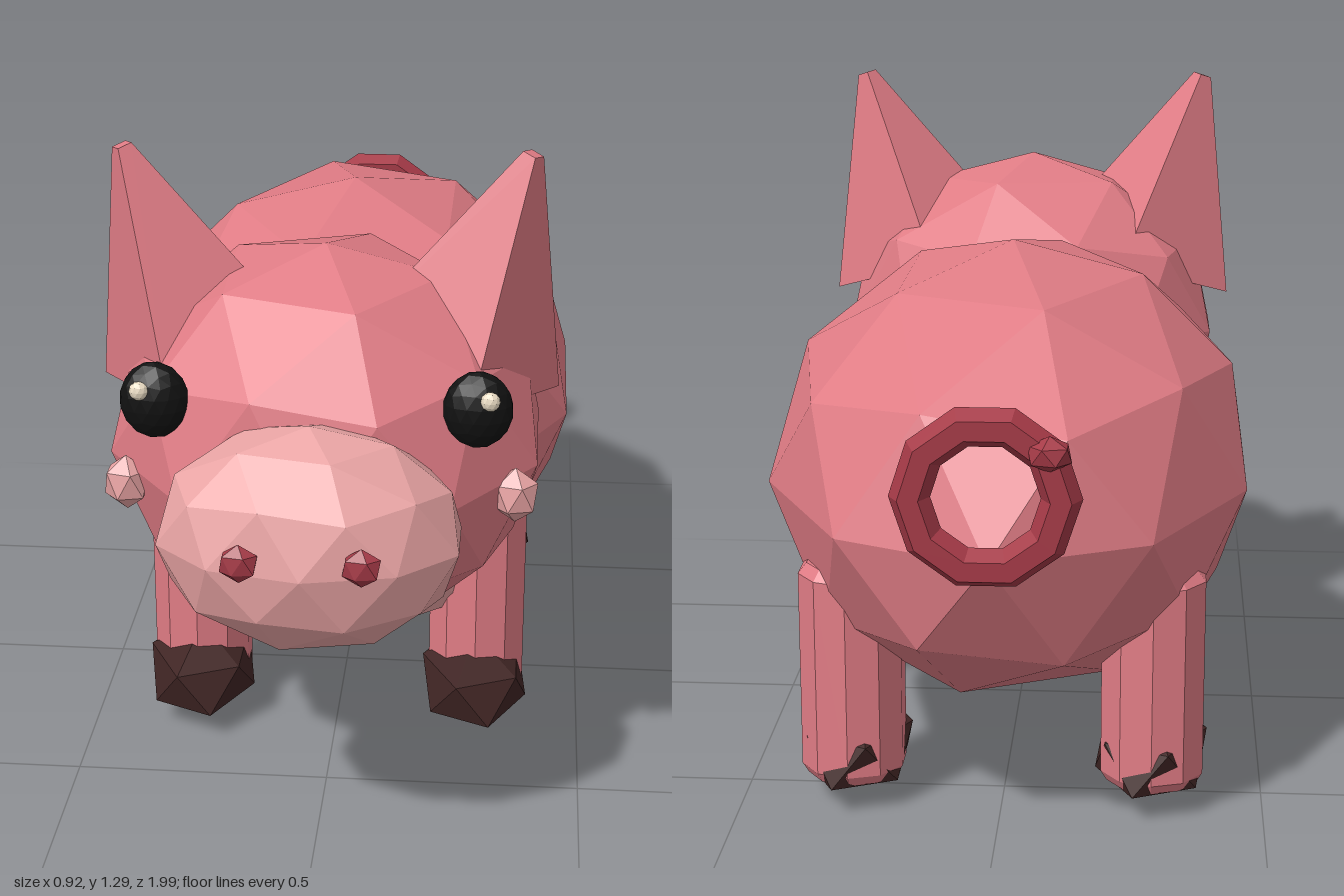
import * as THREE from 'three';

const paint = (color) => new THREE.MeshStandardMaterial({ color, flatShading: true });

export function createModel() {
  const pig = new THREE.Group();
  pig.name = 'pig';
  const skin = paint(0xe07c85);
  const pale = paint(0xeaa5a5);
  const red = paint(0xa53a47);
  const hoofBrown = paint(0x402524);
  const black = paint(0x111111);
  const cream = paint(0xeadcc4);

  function add(name, geometry, material, x, y, z) {
    const mesh = new THREE.Mesh(geometry, material);
    mesh.name = name;
    mesh.position.set(x, y, z);
    pig.add(mesh);
    return mesh;
  }

  // Faceted ellipsoid with a corner at its top; lean picks which side the upper ring points to
  function blob(rx, ry, rz, detail = 1, lean = -1) {
    return new THREE.IcosahedronGeometry(1, detail)
      .rotateZ(lean * Math.atan(2 / (1 + Math.sqrt(5))))
      .scale(rx, ry, rz);
  }

  // Trunk, belly, head and snout
  add('body', blob(0.485, 0.44, 0.7, 1, 1), skin, 0, 0.6, -0.22);
  add('belly', blob(0.36, 0.2, 0.37), pale, 0, 0.36, 0.03);
  add('head', blob(0.42, 0.385, 0.38), skin, 0, 0.73, 0.43).rotation.x = 0.08;
  add('snout', blob(0.28, 0.21, 0.19), pale, 0, 0.68, 0.8);

  // Leg profile with a slightly bevelled top
  const legProfile = [[0, 0.06], [0.09, 0.06], [0.102, 0.08], [0.102, 0.465], [0.085, 0.485], [0, 0.485]]
    .map(([r, y]) => new THREE.Vector2(r, y));
  const legGeometry = new THREE.LatheGeometry(legProfile, 10);
  const hoofGeometry = blob(0.12, 0.097, 0.17, 0, 1);

  for (const s of [1, -1]) {
    const side = s > 0 ? 'left' : 'right';

    // Legs and hooves
    for (const [end, z] of [['Front', 0.185], ['Hind', -0.555]]) {
      add(`${side}${end}Leg`, legGeometry, skin, s * 0.287, 0, z);
      add(`${side}${end}Hoof`, hoofGeometry, hoofBrown, s * 0.285, 0.1, z + 0.04);
    }

    // Four-sided pointed ear leaning outwards
    const earGeometry = new THREE.CylinderGeometry(0.02, 0.21, 0.437, 4).rotateY(s * 0.17);
    const ear = add(`${side}Ear`, earGeometry, skin, s * 0.307, 1.083, 0.44);
    ear.rotation.set(0.08, 0, -s * 0.314);

    // Face details
    add(`${side}Eye`, blob(0.063, 0.072, 0.042, 2), black, s * 0.29, 0.883, 0.683);
    add(`${side}EyeGlint`, blob(0.018, 0.018, 0.014), cream, s * 0.312, 0.912, 0.717);
    add(`${side}Cheek`, blob(0.046, 0.054, 0.038, 0), pale, s * 0.36, 0.687, 0.61);
    add(`${side}Nostril`, blob(0.037, 0.036, 0.02, 0), red, s * 0.105, 0.705, 0.973);
  }

  // Ring-shaped tail with a small tip
  add('tail', new THREE.TorusGeometry(0.13, 0.036, 6, 10), red, 0, 0.73, -0.942);
  add('tailTip', blob(0.042, 0.032, 0.035, 0), red, -0.11, 0.815, -0.967);

  return pig;
}
